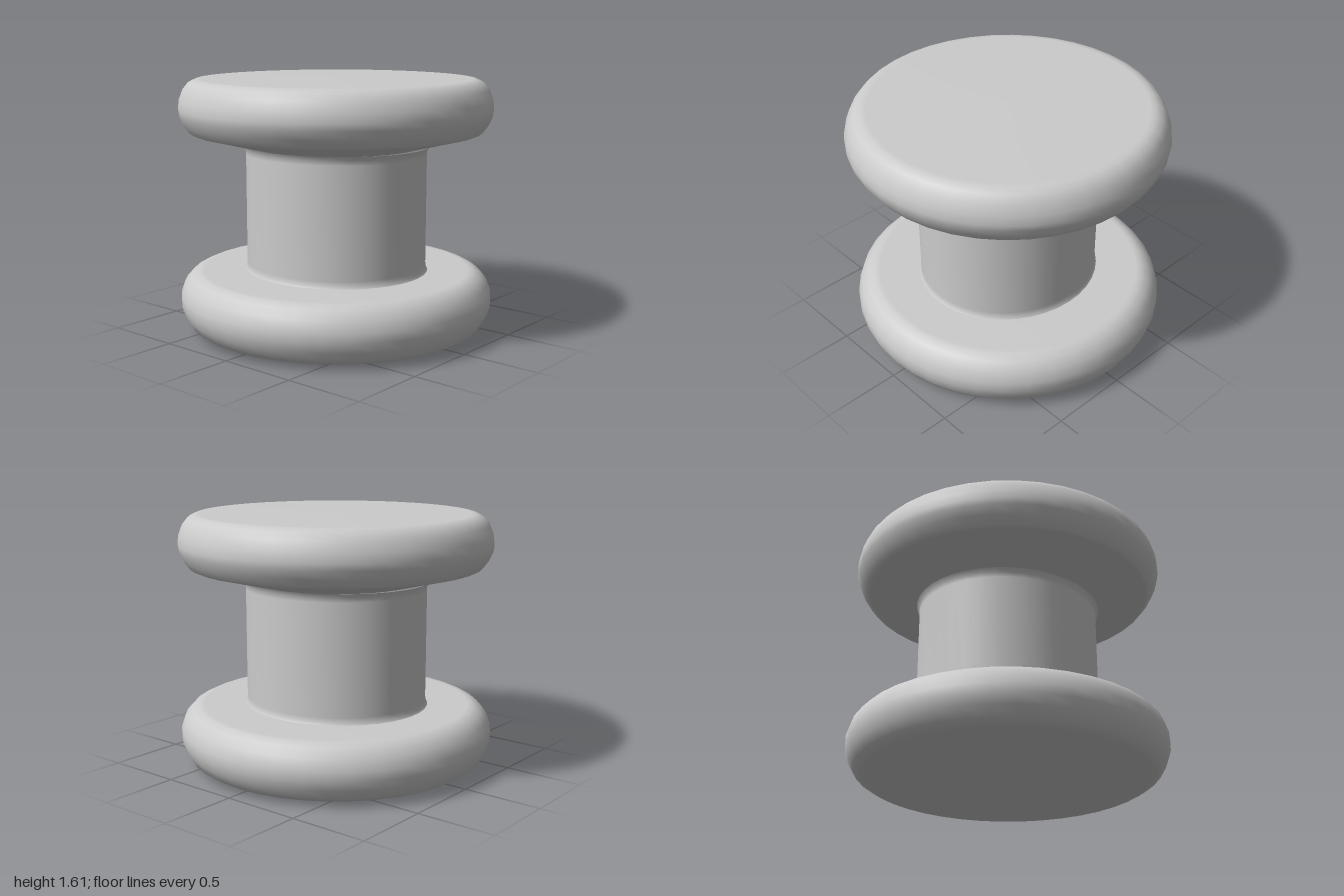
import * as THREE from 'three';

const SIDES = 40;

// Revolves a profile of [radius, height] pairs, listed from bottom to top
function turned(name, profile, material) {
  const points = profile.map(([r, y]) => new THREE.Vector2(r, y));
  const mesh = new THREE.Mesh(new THREE.LatheGeometry(points, SIDES), material);
  mesh.name = name;
  return mesh;
}

export function createModel() {
  const group = new THREE.Group();
  group.name = 'spool';
  const material = new THREE.MeshStandardMaterial({ color: 0xcccccc });

  // Lower disc: faintly domed underside, rounded rim, flat upper face
  group.add(turned('lowerFlange', [
    [0, 0.005], [0.86, 0.027], [0.9, 0.03], [0.945, 0.06], [0.98, 0.12],
    [0.998, 0.18], [0.998, 0.24], [0.975, 0.31], [0.93, 0.36],
    [0.885, 0.382], [0.85, 0.385], [0.5, 0.387],
  ], material));

  // Slightly oval core with small fillets where it meets the discs
  const core = turned('core', [
    [0.585, 0.383], [0.573, 0.4], [0.57, 0.43], [0.57, 1.13],
    [0.573, 1.16], [0.59, 1.185],
  ], material);
  core.scale.set(0.972, 1, 1.033);
  group.add(core);

  // Sloping underside between the core and the upper disc
  group.add(turned('upperCone', [[0.54, 1.177], [0.91, 1.27]], material));

  // Upper disc: rounded rim and nearly flat top
  group.add(turned('upperFlange', [
    [0.9, 1.267], [0.925, 1.278], [0.96, 1.325], [0.985, 1.38], [0.991, 1.42],
    [0.985, 1.475], [0.96, 1.54], [0.925, 1.583], [0.885, 1.602],
    [0.85, 1.605], [0, 1.612],
  ], material));

  return group;
}
